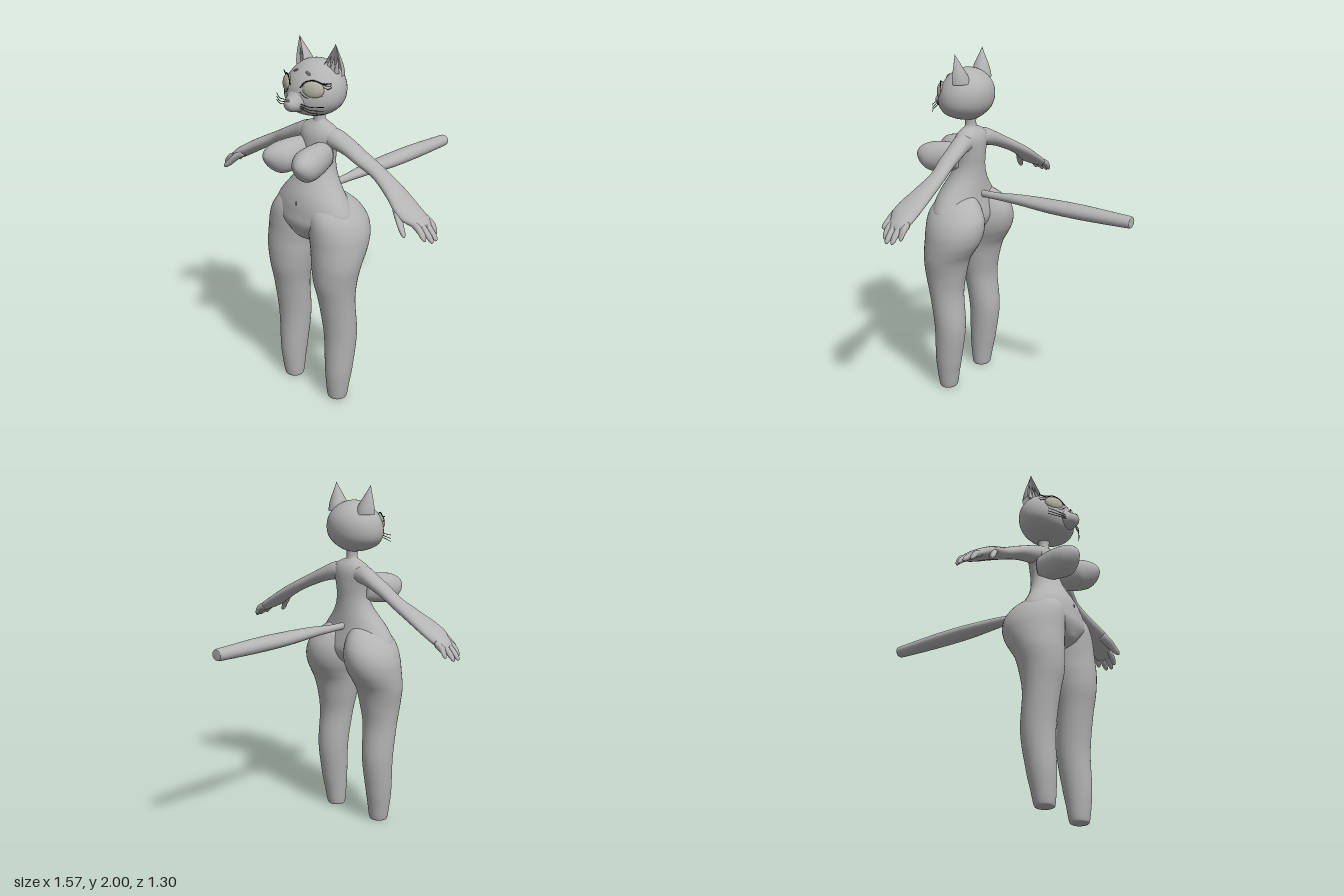
import * as THREE from 'three';

const mat = (name, color, side = THREE.FrontSide) => {
  const m = new THREE.MeshStandardMaterial({ color, side });
  m.name = name;
  return m;
};

// Smooth capped surface through elliptical rings square to one axis.
// Each section: [x, y, z, ra, rb]
function loft(axis, sections, steps = 6, sides = 32) {
  const centres = new THREE.CatmullRomCurve3(
    sections.map(s => new THREE.Vector3(s[0], s[1], s[2])), false, 'catmullrom', 0.5);
  const radii = new THREE.CatmullRomCurve3(
    sections.map(s => new THREE.Vector3(s[3], s[4], 0)), false, 'catmullrom', 0.5);
  const n = (sections.length - 1) * steps;
  const pos = [], idx = [];
  for (let i = 0; i <= n; i++) {
    const c = centres.getPoint(i / n), r = radii.getPoint(i / n);
    for (let j = 0; j < sides; j++) {
      const t = j / sides * Math.PI * 2;
      const a = Math.max(r.x, 0.001) * Math.cos(t), b = Math.max(r.y, 0.001) * Math.sin(t);
      if (axis === 'y') pos.push(c.x + a, c.y, c.z + b);
      else if (axis === 'x') pos.push(c.x, c.y + a, c.z + b);
      else pos.push(c.x + a, c.y + b, c.z);
      const k = (j + 1) % sides, p = i * sides;
      if (i < n) idx.push(p + j, p + sides + j, p + k, p + k, p + sides + j, p + sides + k);
    }
  }
  // End caps
  [0, n].forEach((ring, e) => {
    const c = centres.getPoint(e), hub = pos.length / 3;
    pos.push(c.x, c.y, c.z);
    for (let j = 0; j < sides; j++) {
      const a = ring * sides + j, b = ring * sides + (j + 1) % sides;
      if (e) idx.push(hub, b, a); else idx.push(hub, a, b);
    }
  });
  // Turn all faces outward
  const v = k => new THREE.Vector3(pos[k * 3], pos[k * 3 + 1], pos[k * 3 + 2]);
  let volume = 0;
  for (let i = 0; i < idx.length; i += 3) volume += v(idx[i]).dot(v(idx[i + 1]).cross(v(idx[i + 2])));
  if (volume < 0) idx.reverse();
  const g = new THREE.BufferGeometry();
  g.setAttribute('position', new THREE.Float32BufferAttribute(pos, 3));
  g.setIndex(idx);
  g.computeVertexNormals();
  return g;
}

// Section of a horizontal ring from its extents
const span = (y, x0, x1, z0, z1) => [(x0 + x1) / 2, y, (z0 + z1) / 2, (x1 - x0) / 2, (z1 - z0) / 2];
const mirror = (sections, s) => sections.map(([x, ...rest]) => [x * s, ...rest]);

export function createModel() {
  const model = new THREE.Group();
  model.name = 'catFigure';
  const skin = mat('bodyGrey', 0xb3b3b3);
  const shell = mat('earGrey', 0xb2b2b2, THREE.DoubleSide);
  const lid = mat('eyelidGrey', 0xb0ae9e);
  const dark = mat('noseGrey', 0x6e6e6e);
  const black = mat('lineBlack', 0x151515);

  const add = (name, geometry, material = skin, parent = model) => {
    const m = new THREE.Mesh(geometry, material);
    m.name = name;
    parent.add(m);
    return m;
  };
  const ball = (name, material, p, r, parent = model) => {
    const m = add(name, new THREE.SphereGeometry(1, 32, 20), material, parent);
    m.position.set(...p);
    m.scale.set(...r);
    return m;
  };
  const line = (name, pts, r = 0.002) => add(name, new THREE.TubeGeometry(
    new THREE.CatmullRomCurve3(pts.map(p => new THREE.Vector3(...p))), 12, r, 5), black);

  // Torso and neck
  add('torso', loft('y', [
    [0.92, 0.02, 0.38, 0.47], [0.96, 0.08, 0.33, 0.53], [1.0, 0.15, 0.29, 0.553],
    [1.05, 0.23, 0.27, 0.567], [1.1, 0.255, 0.275, 0.562], [1.15, 0.23, 0.285, 0.555],
    [1.2, 0.19, 0.293, 0.54], [1.25, 0.148, 0.297, 0.515], [1.3, 0.117, 0.3, 0.487],
    [1.36, 0.1, 0.3, 0.462], [1.43, 0.105, 0.295, 0.455], [1.5, 0.122, 0.295, 0.448],
    [1.54, 0.11, 0.308, 0.43], [1.565, 0.065, 0.328, 0.41], [1.585, 0.031, 0.338, 0.402],
    [1.66, 0.034, 0.335, 0.41],
  ].map(([y, r, z0, z1]) => span(y, -r, r, z0, z1)), 5, 40));
  ball('navel', dark, [0, 1.155, 0.553], [0.007, 0.014, 0.004]);

  // Head and face
  add('head', loft('y', [
    [1.615, 0.02, 0.36, 0.42], [1.625, 0.07, 0.33, 0.47], [1.65, 0.122, 0.293, 0.52],
    [1.685, 0.156, 0.262, 0.54], [1.725, 0.17, 0.245, 0.547], [1.775, 0.167, 0.24, 0.54],
    [1.82, 0.148, 0.25, 0.52], [1.86, 0.115, 0.277, 0.488], [1.888, 0.075, 0.315, 0.452],
    [1.902, 0.035, 0.35, 0.418], [1.905, 0.002, 0.383, 0.387],
  ].map(([y, r, z0, z1]) => span(y, -r, r, z0, z1)), 5, 40));
  add('muzzle', loft('z', [
    [0, 1.735, 0.46, 0.085, 0.075], [0, 1.72, 0.52, 0.07, 0.062], [0, 1.705, 0.56, 0.048, 0.043],
    [0, 1.702, 0.585, 0.033, 0.03], [0, 1.705, 0.598, 0.016, 0.014], [0, 1.706, 0.6, 0.002, 0.002],
  ]));
  ball('nose', dark, [0, 1.725, 0.586], [0.015, 0.009, 0.009]);
  ball('lowerLip', skin, [0, 1.677, 0.558], [0.026, 0.014, 0.022]);
  line('mouth', [[-0.032, 1.695, 0.574], [-0.015, 1.687, 0.588], [0, 1.69, 0.594],
    [0.015, 1.687, 0.588], [0.032, 1.695, 0.574]], 0.0015);

  // Tail, straight back with a blunt end
  add('tail', loft('z', [
    [0, 1.19, 0.34, 0.018, 0.02], [0, 1.19, 0.2, 0.022, 0.021], [0, 1.195, 0.05, 0.037, 0.029],
    [0, 1.194, -0.15, 0.053, 0.038], [0, 1.194, -0.35, 0.05, 0.041], [0, 1.193, -0.55, 0.04, 0.036],
    [0, 1.193, -0.635, 0.035, 0.033], [0, 1.193, -0.65, 0.032, 0.029],
  ], 6, 24));

  for (const s of [1, -1]) {
    const side = s > 0 ? 'left' : 'right';

    // Leg running up into hip and seat
    add(side + 'Leg', loft('y', mirror([
      span(0.001, 0.13, 0.22, 0.4, 0.485), span(0.015, 0.119, 0.231, 0.388, 0.495),
      span(0.1, 0.112, 0.245, 0.372, 0.505), span(0.2, 0.105, 0.258, 0.352, 0.51),
      span(0.4, 0.09, 0.272, 0.325, 0.508), span(0.6, 0.073, 0.28, 0.34, 0.533),
      span(0.72, 0.052, 0.292, 0.325, 0.557), span(0.82, 0.035, 0.31, 0.3, 0.563),
      span(0.885, 0.024, 0.315, 0.262, 0.562), span(0.94, 0.01, 0.315, 0.23, 0.56),
      span(1.0, 0, 0.309, 0.212, 0.56), span(1.06, 0, 0.288, 0.212, 0.558),
      span(1.11, 0.004, 0.255, 0.232, 0.548), span(1.15, 0.01, 0.215, 0.262, 0.525),
      span(1.19, 0.03, 0.15, 0.31, 0.48), span(1.2, 0.08, 0.1, 0.38, 0.4),
    ], s), 5, 40));

    // Bust
    add(side + 'Bust', loft('z', mirror([
      [0.07, 1.41, 0.39, 0.05, 0.07], [0.08, 1.403, 0.46, 0.07, 0.083], [0.09, 1.396, 0.53, 0.081, 0.087],
      [0.097, 1.394, 0.58, 0.079, 0.081], [0.107, 1.4, 0.618, 0.059, 0.06],
      [0.113, 1.406, 0.642, 0.035, 0.034], [0.115, 1.408, 0.653, 0.012, 0.012],
      [0.115, 1.408, 0.655, 0.001, 0.001],
    ], s)));

    // Arm and palm
    add(side + 'Arm', loft('x', mirror([
      [0.04, 1.495, 0.365, 0.045, 0.055], [0.11, 1.493, 0.36, 0.053, 0.055],
      [0.19, 1.465, 0.35, 0.045, 0.052], [0.28, 1.424, 0.345, 0.039, 0.05],
      [0.38, 1.374, 0.333, 0.036, 0.047], [0.5, 1.311, 0.345, 0.038, 0.063],
      [0.58, 1.265, 0.36, 0.038, 0.077], [0.635, 1.233, 0.365, 0.036, 0.078],
      [0.68, 1.208, 0.355, 0.031, 0.064], [0.715, 1.187, 0.35, 0.024, 0.056],
      [0.73, 1.177, 0.35, 0.01, 0.04],
    ], s), 5, 28));

    // Fingers and thumb
    [[0.304, 0.752, 1.142], [0.336, 0.782, 1.126], [0.37, 0.786, 1.126], [0.4, 0.764, 1.138]]
      .forEach(([z, tip, y], i) => add(side + 'Finger' + (i + 1), loft('x', mirror([
        [0.68, 1.205, z, 0.02, 0.014], [0.72, 1.183, z, 0.021, 0.017],
        [(0.72 + tip) / 2, (1.185 + y) / 2, z, 0.02, 0.0165],
        [tip - 0.008, y + 0.008, z, 0.014, 0.012], [tip, y, z, 0.002, 0.002],
      ], s), 4, 14)));
    add(side + 'Thumb', loft('x', mirror([
      [0.575, 1.255, 0.41, 0.022, 0.025], [0.62, 1.222, 0.435, 0.024, 0.026],
      [0.655, 1.185, 0.455, 0.021, 0.019], [0.68, 1.165, 0.466, 0.014, 0.012],
      [0.688, 1.158, 0.47, 0.002, 0.002],
    ], s), 4, 16));

    // Ear: bulged half cone, open to the front
    const ear = new THREE.Group();
    ear.name = side + 'Ear';
    ear.position.set(s * 0.104, 1.838, 0.372);
    ear.rotation.set(0, s * 0.35, 0);
    model.add(ear);
    const cone = new THREE.ConeGeometry(1, 1, 28, 10, true, Math.PI * 0.4, Math.PI * 1.2);
    const p = cone.attributes.position;
    for (let i = 0; i < p.count; i++) {
      const t = p.getY(i) + 0.5, bulge = 1 + 0.7 * t * (1 - t);
      p.setXYZ(i, p.getX(i) * 0.062 * bulge + s * 0.025 * t, t * 0.162, p.getZ(i) * 0.065 * bulge + 0.012 * t);
    }
    cone.computeVertexNormals();
    add('earShell', cone, shell, ear);
    // Ear fur tufts
    for (const k of [-1, 0, 1]) {
      const tuft = add('earTuft', new THREE.ConeGeometry(0.016, 0.09, 10), skin, ear);
      tuft.position.set(k * 0.022 + s * 0.006, 0.055, 0.005);
      tuft.rotation.z = -s * 0.2 + k * 0.1;
      tuft.scale.z = 0.5;
    }

    // Closed eye, lashes and brow
    ball(side + 'Eyelid', lid, [s * 0.095, 1.785, 0.5], [0.056, 0.044, 0.022]).rotation.set(-0.2, s * 0.55, 0);
    line(side + 'UpperLash', [[s * 0.036, 1.79, 0.537], [s * 0.062, 1.822, 0.519], [s * 0.1, 1.832, 0.498],
      [s * 0.138, 1.816, 0.472], [s * 0.175, 1.822, 0.45]], 0.003);
    line(side + 'LowerLash', [[s * 0.042, 1.772, 0.543], [s * 0.068, 1.748, 0.534], [s * 0.1, 1.742, 0.514],
      [s * 0.14, 1.758, 0.479]], 0.0015);
    for (const [y, dy] of [[1.81, -0.004], [1.8, -0.01]])
      line(side + 'LashTip', [[s * 0.14, y, 0.472], [s * 0.158, y + dy, 0.457], [s * 0.172, y, 0.446]], 0.0015);
    ball(side + 'Brow', dark, [s * 0.045, 1.855, 0.485], [0.018, 0.007, 0.006]).rotation.set(-0.7, s * 0.3, -s * 0.3);

    // Whiskers
    for (const [y, end] of [[1.713, 1.712], [1.702, 1.692], [1.692, 1.675]])
      line(side + 'Whisker', [[s * 0.05, y, 0.55], [s * 0.11, (y + end) / 2 - 0.006, 0.54], [s * 0.175, end, 0.505]], 0.0018);
  }
  return model;
}
